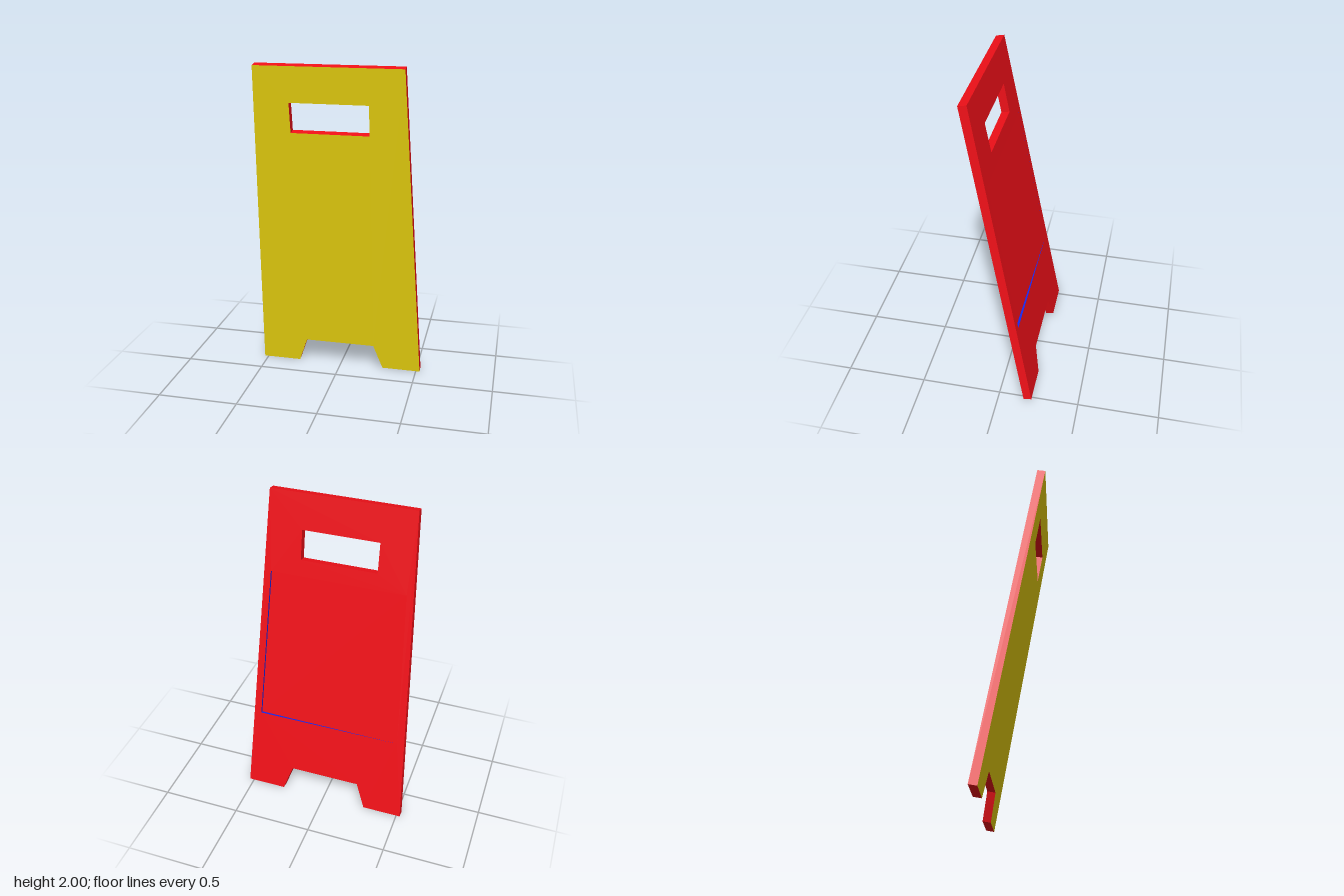
import * as THREE from 'three';

const LEAN = 0.1838;      // tilt of the board, top towards +z
const THICK = 0.05;
const LENGTH = 2.025;
const RECESS = 0.016;     // depth of the back panel at its deep side

const material = (color) => new THREE.MeshStandardMaterial({ color });
const points = (list) => list.map(([x, y]) => new THREE.Vector2(x, y));

// Tapered outline with a notch between two feet (counter-clockwise)
const outline = points([
  [-0.525, 0], [-0.28, 0], [-0.222, 0.168], [0.222, 0.168],
  [0.28, 0], [0.525, 0], [0.435, LENGTH], [-0.435, LENGTH],
]);
// Openings run clockwise
const handle = points([[-0.235, 1.627], [-0.235, 1.81], [0.23, 1.81], [0.23, 1.627]]);
const panel = points([[-0.455, 0.54], [-0.415, 1.526], [0.415, 1.526], [0.455, 0.54]]);

// The recess floor slopes from flush on one side to full depth on the other
const floorZ = (x) => -THICK + RECESS * THREE.MathUtils.clamp((x + 0.435) / 0.87, 0, 1);

function flatFace(loop, holes = []) {
  const shape = new THREE.Shape(loop);
  holes.forEach((h) => shape.holes.push(new THREE.Path(h)));
  return new THREE.ShapeGeometry(shape);
}

// Face seen from behind, with its depth set by a rule
function backFace(loop, holes, depthAt) {
  const geometry = flatFace(loop, holes);
  const pos = geometry.attributes.position;
  for (let i = 0; i < pos.count; i++) pos.setZ(i, depthAt(pos.getX(i)));
  geometry.index.array.reverse();
  geometry.computeVertexNormals();
  return geometry;
}

// Strip of quads round a loop, from a front depth to the back of the board
function walls(loop, frontAt) {
  const v = [];
  loop.forEach((a, i) => {
    const b = loop[(i + 1) % loop.length];
    const af = [a.x, a.y, frontAt(a.x)], ab = [a.x, a.y, -THICK];
    const bf = [b.x, b.y, frontAt(b.x)], bb = [b.x, b.y, -THICK];
    v.push(...af, ...ab, ...bb, ...af, ...bb, ...bf);
  });
  const geometry = new THREE.BufferGeometry();
  geometry.setAttribute('position', new THREE.Float32BufferAttribute(v, 3));
  geometry.computeVertexNormals();
  return geometry;
}

export function createModel() {
  const model = new THREE.Group();
  model.name = 'floorSign';
  const board = new THREE.Group();
  board.name = 'leaningBoard';
  model.add(board);

  const yellow = material(0xf0d810);
  const red = material(0xf01018);
  const blue = material(0x1a28f0);
  const add = (name, geometry, mat) => {
    const mesh = new THREE.Mesh(geometry, mat);
    mesh.name = name;
    board.add(mesh);
  };

  add('frontFace', flatFace(outline, [handle]), yellow);
  add('backFace', backFace(outline, [handle, panel], () => -THICK), red);
  add('outerEdge', walls(outline, () => 0), red);
  add('handleEdge', walls(handle, () => 0), red);
  add('recessFloor', backFace(panel, [], floorZ), red);
  add('recessEdge', walls(panel, floorZ), blue);

  // Lean the board with its front lower edge on the ground
  board.rotation.x = LEAN;
  board.position.z = -0.16;
  return model;
}
